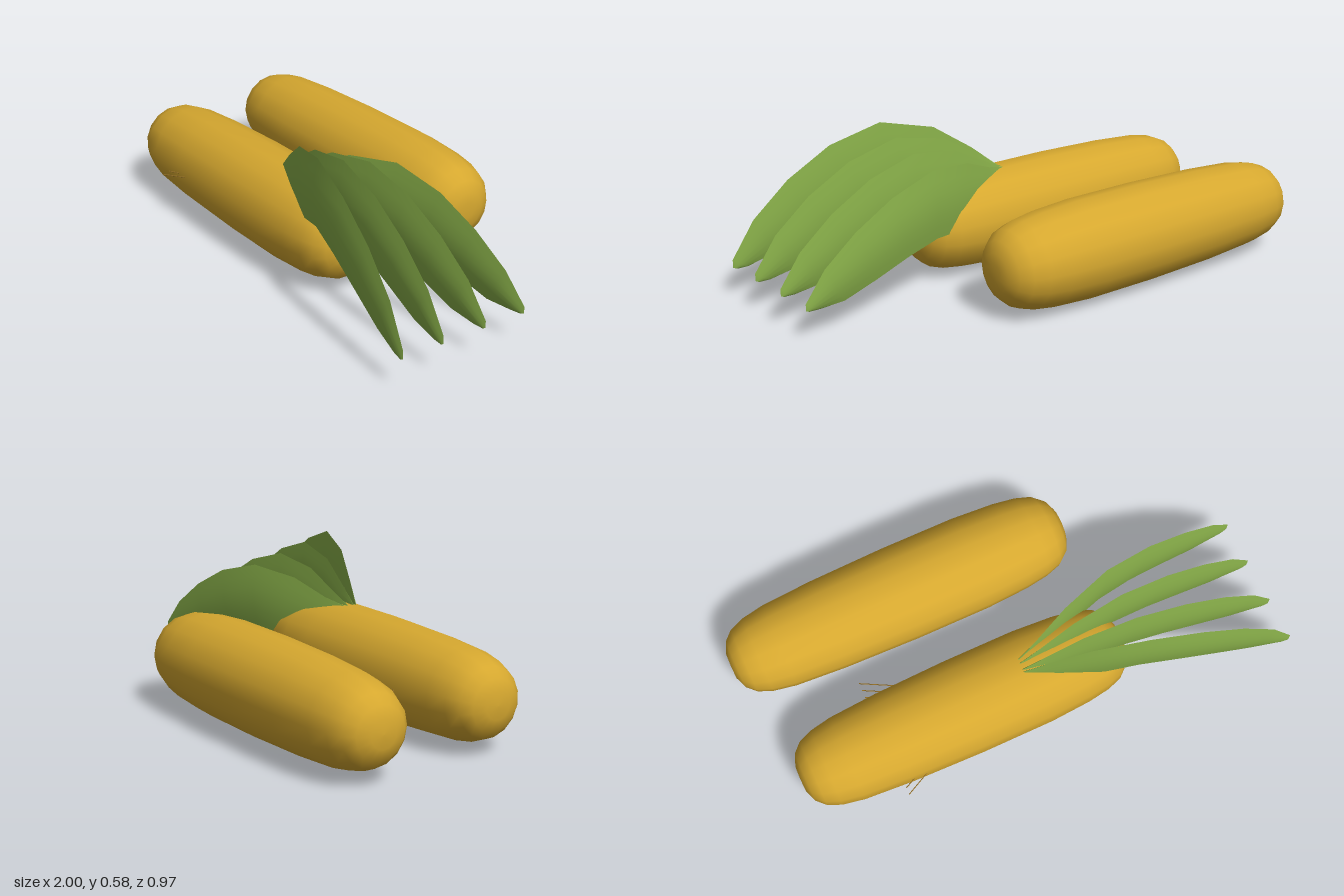
import * as THREE from 'three';

const gold = new THREE.MeshStandardMaterial({ color: 0xd6a82f });
gold.name = 'golden yellow';
const green = new THREE.MeshStandardMaterial({ color: 0x86ac48 });
green.name = 'leaf green';
const brown = new THREE.MeshStandardMaterial({ color: 0x9a7428 });
brown.name = 'silk brown';

// Smooth sixteen-sided cob lying along x, [x, radius] from tip to stalk end
const cobProfile = [
  [-1, 0], [-0.998, 0.05], [-0.98, 0.095], [-0.945, 0.128], [-0.89, 0.15], [-0.8, 0.166],
  [-0.6, 0.179], [-0.3, 0.187], [0, 0.187], [0.17, 0.177], [0.26, 0.164], [0.32, 0.145],
  [0.36, 0.112], [0.381, 0.07], [0.386, 0.03], [0.386, 0],
];

function makeCob(name, tipX, z, turn) {
  const endX = 0.386;
  const stretch = (endX - tipX) / (endX + 1);
  const points = cobProfile.map(([x, r]) => new THREE.Vector2(r, endX + (x - endX) * stretch));
  const geometry = new THREE.LatheGeometry(points, 16);
  geometry.rotateZ(-Math.PI / 2);
  geometry.rotateX(turn);
  const cob = new THREE.Mesh(geometry, gold);
  cob.name = name;
  cob.position.set(0, 0.191, z);
  return cob;
}

// Leaf stations: top x, top y, bottom x, bottom y, share of the drop between leaves
const stations = [
  [-0.03, 0.375, -0.02, 0.365, 0],
  [0.06, 0.45, 0.12, 0.27, 0.5],
  [0.2, 0.545, 0.26, 0.295, 0.85],
  [0.4, 0.586, 0.38, 0.32, 1],
  [0.6, 0.525, 0.53, 0.283, 0.9],
  [0.77, 0.42, 0.68, 0.22, 0.7],
  [0.91, 0.29, 0.83, 0.15, 0.4],
  [0.998, 0.15, 0.94, 0.115, 0.05],
  [0.998, 0.12, 0.98, 0.113, 0],
];

// One curved blade: two bulging faces meeting in sharp upper and lower edges
function makeLeaf(index, startZ, midZ, endZ) {
  const path = new THREE.CatmullRomCurve3([
    new THREE.Vector3(-0.03, 0, startZ), new THREE.Vector3(0.4, 0, midZ), new THREE.Vector3(1, 0, endZ),
  ]);
  const zAt = (x) => {
    let low = 0, high = 1;
    for (let i = 0; i < 20; i++) {
      const mid = (low + high) / 2;
      if (path.getPoint(mid).x < x) low = mid; else high = mid;
    }
    return path.getPoint(low).z;
  };
  const columns = 6;
  const positions = [], indices = [];
  for (const side of [1, -1]) {
    const base = positions.length / 3;
    stations.forEach(([tx, ty, bx, by, share], row) => {
      const drop = 0.035 * index * share;
      const thick = 0.017 * Math.sin(Math.PI * (0.08 + 0.84 * row / (stations.length - 1)));
      for (let c = 0; c <= columns; c++) {
        const t = c / columns;
        const x = tx + (bx - tx) * t;
        positions.push(x, ty + (by - ty) * t - drop, zAt(x) + side * thick * Math.sin(Math.PI * t));
        if (row < stations.length - 1 && c < columns) {
          const a = base + row * (columns + 1) + c, b = a + 1;
          const d = a + columns + 1, e = d + 1;
          if (side > 0) indices.push(a, b, d, b, e, d);
          else indices.push(a, d, b, b, d, e);
        }
      }
    });
  }
  const geometry = new THREE.BufferGeometry();
  geometry.setAttribute('position', new THREE.Float32BufferAttribute(positions, 3));
  geometry.setIndex(indices);
  geometry.computeVertexNormals();
  const leaf = new THREE.Mesh(geometry, green);
  leaf.name = 'huskLeaf' + (index + 1);
  return leaf;
}

// Fine strand between two points
function makeStrand(from, to) {
  const a = new THREE.Vector3(...from), b = new THREE.Vector3(...to);
  const strand = new THREE.Mesh(new THREE.CylinderGeometry(0.002, 0.002, a.distanceTo(b), 5), brown);
  strand.position.copy(a).add(b).multiplyScalar(0.5);
  strand.quaternion.setFromUnitVectors(new THREE.Vector3(0, 1, 0), b.sub(a).normalize());
  strand.name = 'silkStrand';
  return strand;
}

export function createModel() {
  const model = new THREE.Group();
  model.name = 'cornCobs';
  model.add(makeCob('frontCob', -0.93, 0.22, Math.PI / 16));
  model.add(makeCob('backCob', -1, -0.298, 0));

  // Husk leaves fanning out from the front cob
  const husk = new THREE.Group();
  husk.name = 'husk';
  [[0.245, 0.39, 0.48], [0.235, 0.283, 0.314], [0.21, 0.17, 0.135], [0.195, 0.05, -0.035]]
    .forEach(([start, mid, end], i) => husk.add(makeLeaf(i, start, mid, end)));
  model.add(husk);

  // Silk strands poking out on both sides of the front cob
  const silk = new THREE.Group();
  silk.name = 'silk';
  for (const z of [-0.03, 0, 0.03]) silk.add(makeStrand([-0.587, 0.19, z], [-0.44, 0.192, z + 0.08]));
  [0.44, 0.415].forEach((z, i) => silk.add(makeStrand([-0.587, 0.178 + i * 0.008, z], [-0.44, 0.194, z - 0.07])));
  model.add(silk);
  return model;
}
